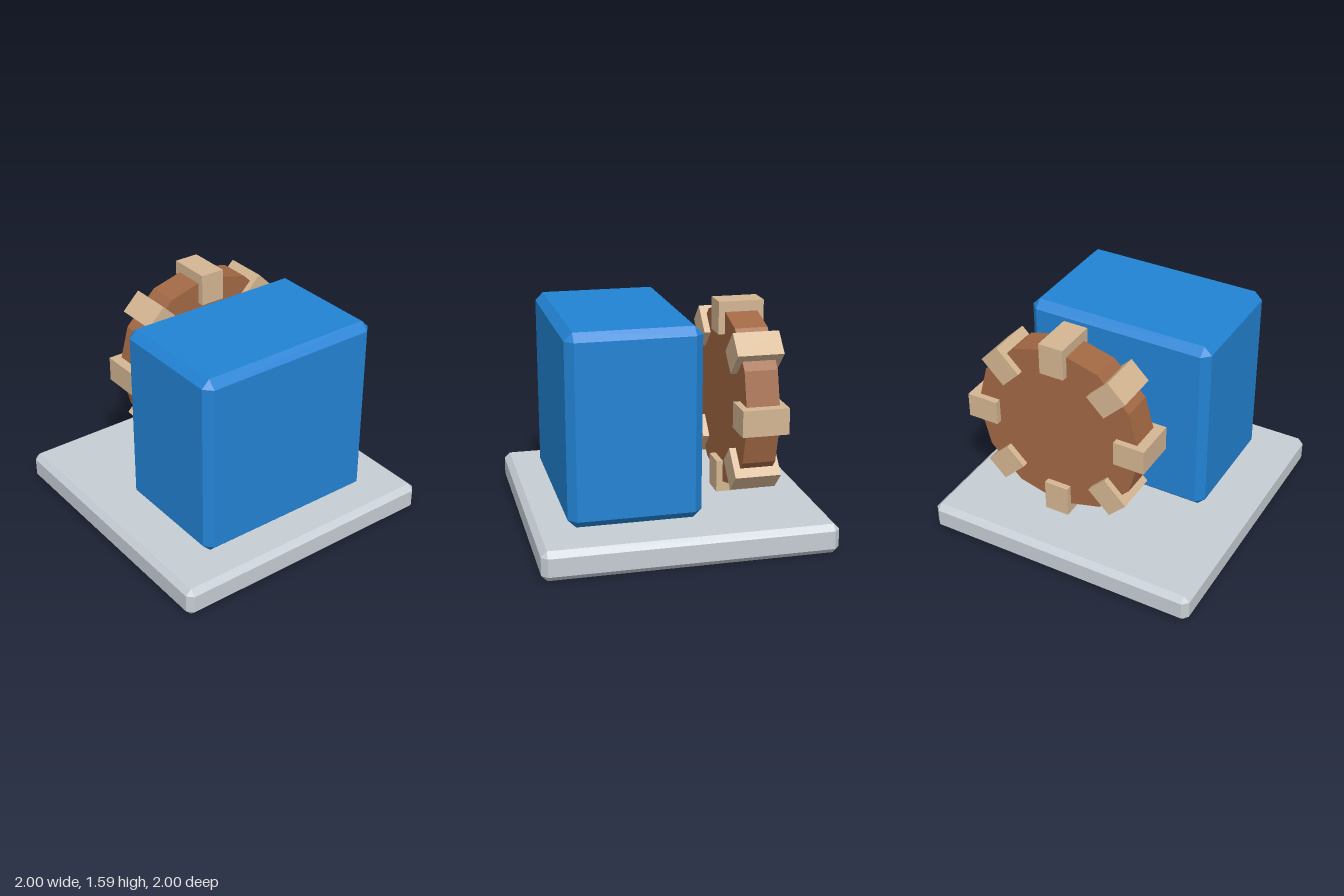
import * as THREE from 'three';
import { ConvexGeometry } from 'three/addons/geometries/ConvexGeometry.js';

const material = (name, color) => {
  const m = new THREE.MeshStandardMaterial({ color });
  m.name = name;
  m.flatShading = true;
  return m;
};

// Box with every edge and corner cut off by c
function chamferBox(w, h, d, c) {
  const points = [];
  for (const x of [-1, 1]) for (const y of [-1, 1]) for (const z of [-1, 1]) {
    for (let full = 0; full < 3; full++) {
      const inset = (axis) => (axis === full ? 0 : c);
      points.push(new THREE.Vector3(
        x * (w / 2 - inset(0)), y * (h / 2 - inset(1)), z * (d / 2 - inset(2))));
    }
  }
  return new ConvexGeometry(points);
}

function addMesh(parent, name, geometry, mat, x = 0, y = 0, z = 0) {
  const mesh = new THREE.Mesh(geometry, mat);
  mesh.name = name;
  mesh.position.set(x, y, z);
  parent.add(mesh);
  return mesh;
}

export function createModel() {
  const model = new THREE.Group();
  model.name = 'gearMachine';
  const grey = material('plate grey', 0xc6cdd4);
  const blue = material('housing blue', 0x2283d4);
  const brown = material('wheel brown', 0xa26844);
  const tan = material('tooth tan', 0xd4b692);

  // Base plate and housing block
  addMesh(model, 'basePlate', chamferBox(2, 0.206, 2, 0.04), grey, 0, 0.103, 0);
  addMesh(model, 'housing', chamferBox(0.91, 1.32, 1.364, 0.056), blue, 0.315, 0.866, 0);

  // Gear wheel standing beside the housing, axis along x
  const gear = new THREE.Group();
  gear.name = 'gear';
  gear.position.set(-0.503, 0.912, -0.185);
  model.add(gear);
  const disc = new THREE.CylinderGeometry(0.632, 0.632, 0.226, 12).rotateZ(Math.PI / 2);
  addMesh(gear, 'gearDisc', disc, brown);

  // Eight teeth around the rim
  const tooth = new THREE.BoxGeometry(0.316, 0.226, 0.179).translate(0, 0.568, 0);
  for (let i = 0; i < 8; i++) {
    addMesh(gear, 'gearTooth', tooth, tan).rotation.x = (i * Math.PI) / 4;
  }
  return model;
}
